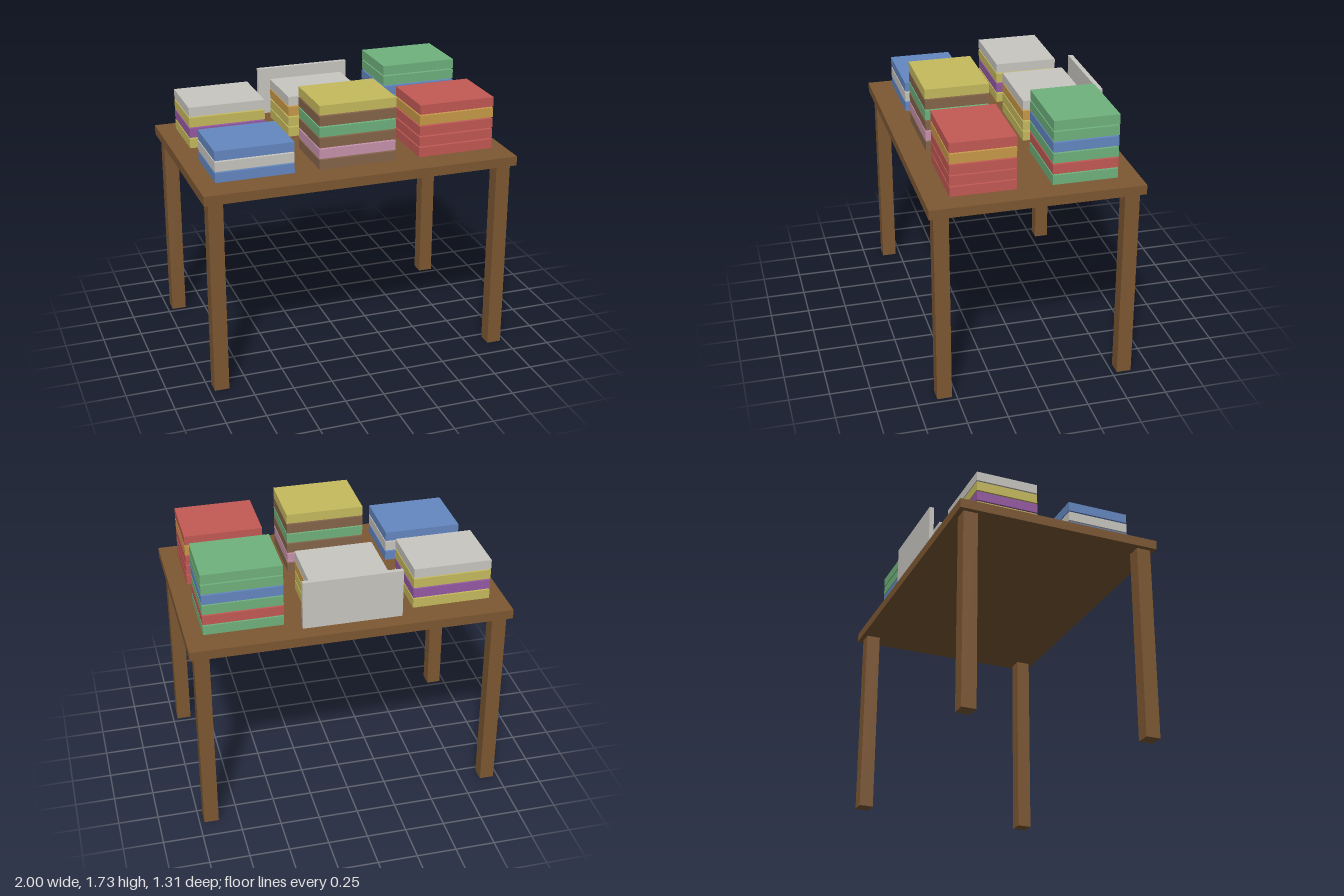
import * as THREE from 'three';

const material = (name, color) => {
  const m = new THREE.MeshStandardMaterial({ color });
  m.name = name;
  return m;
};

export function createModel() {
  const wood = material('wood', 0x7d5833);
  const red = material('red', 0xc45a54);
  const green = material('green', 0x70b27d);
  const blue = material('blue', 0x6488c2);
  const yellow = material('yellow', 0xc7bb5e);
  const grey = material('pale grey', 0xc9c7c1);
  const orange = material('orange', 0xc99a49);
  const purple = material('purple', 0x965aa4);
  const pink = material('pink', 0xc993ad);
  const brown = material('brown', 0x85644a);

  const model = new THREE.Group();
  model.name = 'displayTable';

  const addBox = (parent, name, size, position, mat) => {
    const mesh = new THREE.Mesh(new THREE.BoxGeometry(...size), mat);
    mesh.name = name;
    mesh.position.set(...position);
    parent.add(mesh);
  };

  // Table top and four legs
  const table = new THREE.Group();
  table.name = 'table';
  model.add(table);
  addBox(table, 'tableTop', [2, 0.06, 1.308], [0, 1.28, 0], wood);
  for (const x of [-1, 1]) {
    for (const z of [-1, 1]) {
      addBox(table, `${z > 0 ? 'front' : 'back'}${x > 0 ? 'Left' : 'Right'}Leg`,
        [0.092, 1.25, 0.092], [x * 0.924, 0.625, z * 0.577], wood);
    }
  }

  // Stacks of flat items, listed from the bottom up, with thin gaps between
  const stacks = [
    ['frontRightStack', -1, 1, [blue, grey, blue]],
    ['frontMiddleStack', 0, 1, [brown, pink, brown, green, brown, yellow]],
    ['frontLeftStack', 1, 1, [red, red, red, orange, red]],
    ['backRightStack', -1, -1, [yellow, purple, yellow, grey]],
    ['backMiddleStack', 0, -1, [yellow, yellow, orange, grey]],
    ['backLeftStack', 1, -1, [green, red, green, blue, green, green]],
  ];
  for (const [name, column, row, layers] of stacks) {
    const stack = new THREE.Group();
    stack.name = name;
    stack.position.set(column * 0.647, 1.357, row * 0.308);
    layers.forEach((mat, i) =>
      addBox(stack, `item${i + 1}`, [0.49, 0.0605, 0.4], [0, i * 0.0688, 0], mat));
    model.add(stack);
  }

  // Upright panel along the back edge
  addBox(model, 'backPanel', [0.616, 0.31, 0.03], [0, 1.494, -0.585], grey);

  return model;
}
